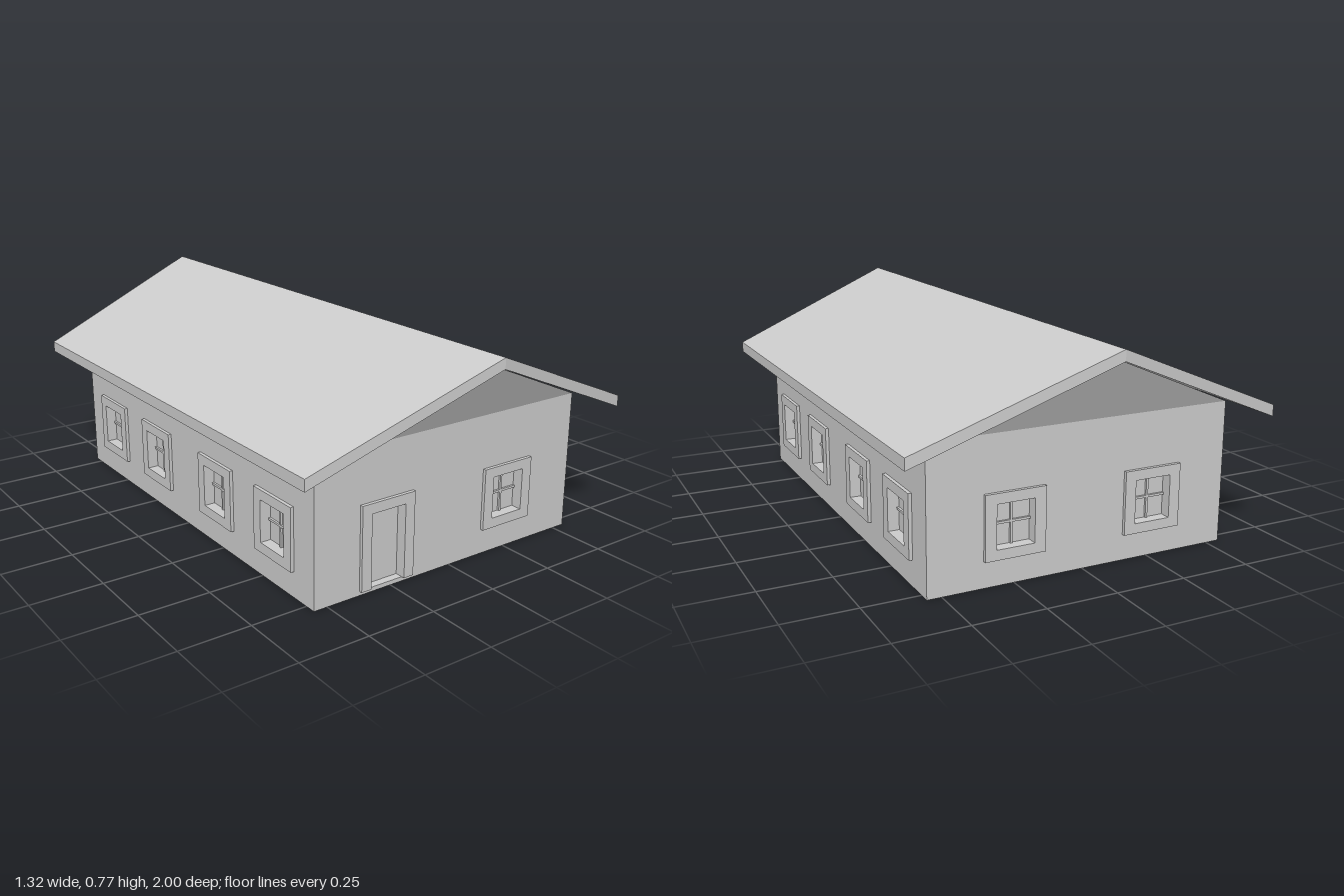
import * as THREE from 'three';

const HALF_W = 0.55, HALF_L = 0.79, WALL_H = 0.5, THICK = 0.035;
const material = new THREE.MeshStandardMaterial({ color: 0xcccccc, flatShading: true });
const thin = new THREE.MeshStandardMaterial({ color: 0xcccccc, flatShading: true, side: THREE.DoubleSide });

function add(parent, name, geometry, mat = material) {
  const mesh = new THREE.Mesh(geometry, mat);
  mesh.name = name;
  parent.add(mesh);
  return mesh;
}

function box(parent, name, w, h, d, x, y, z) {
  add(parent, name, new THREE.BoxGeometry(w, h, d)).position.set(x, y, z);
}

function polygon(points, Type = THREE.Shape) {
  return new Type(points.map(([x, y]) => new THREE.Vector2(x, y)));
}

const rect = (x0, y0, x1, y1, Type) => polygon([[x0, y0], [x1, y0], [x1, y1], [x0, y1]], Type);
const extrude = (shape, depth) => new THREE.ExtrudeGeometry(shape, { depth, bevelEnabled: false });

// Trim that stands proud of the wall, with an opening and a recessed panel
function addWindow(wall, x) {
  const group = new THREE.Group();
  group.name = 'window';
  group.position.set(x, 0.2, 0);
  wall.add(group);
  const trim = rect(-0.107, -0.11, 0.107, 0.11);
  trim.holes.push(rect(-0.067, -0.075, 0.067, 0.075, THREE.Path));
  add(group, 'windowFrame', extrude(trim, 0.012));
  box(group, 'windowPane', 0.134, 0.15, 0.005, 0, 0, -0.03);
  box(group, 'windowBarUpright', 0.008, 0.15, 0.008, 0, 0, -0.024);
  box(group, 'windowBarCross', 0.134, 0.008, 0.008, 0, 0, -0.024);
}

function addDoor(wall, x) {
  const group = new THREE.Group();
  group.name = 'door';
  group.position.x = x;
  wall.add(group);
  const trim = polygon([[-0.105, 0.015], [-0.067, 0.015], [-0.067, 0.275], [0.067, 0.275],
    [0.067, 0.015], [0.105, 0.015], [0.105, 0.31], [-0.105, 0.31]]);
  add(group, 'doorFrame', extrude(trim, 0.012));
  box(group, 'doorPanel', 0.134, 0.26, 0.005, 0, 0.145, -0.03);
}

// One wall with its outer face on local z = 0, turned and moved outwards
function addWall(house, name, halfWidth, angle, distance, windows, doors = []) {
  const wall = new THREE.Group();
  wall.name = name;
  wall.rotation.y = angle;
  wall.position.set(Math.sin(angle) * distance, 0, Math.cos(angle) * distance);
  house.add(wall);
  const shape = rect(-halfWidth, 0, halfWidth, WALL_H);
  for (const x of windows) shape.holes.push(rect(x - 0.067, 0.125, x + 0.067, 0.275, THREE.Path));
  for (const x of doors) shape.holes.push(rect(x - 0.067, 0.015, x + 0.067, 0.275, THREE.Path));
  add(wall, 'wallPanel', extrude(shape, THICK).translate(0, 0, -THICK));
  windows.forEach((x) => addWindow(wall, x));
  doors.forEach((x) => addDoor(wall, x));
  return wall;
}

// Gable triangle leaning out towards its peak
function addGable(wall) {
  const geometry = new THREE.BufferGeometry();
  geometry.setAttribute('position', new THREE.Float32BufferAttribute(
    [-HALF_W, WALL_H, 0, HALF_W, WALL_H, 0, 0, 0.73, 0.11], 3));
  geometry.computeVertexNormals();
  add(wall, 'gable', geometry, thin);
}

export function createModel() {
  const house = new THREE.Group();
  house.name = 'house';

  // Floor and four walls
  box(house, 'floor', 2 * HALF_W - 0.01, 0.01, 2 * HALF_L - 0.01, 0, 0.005, 0);
  const front = addWall(house, 'frontWall', HALF_W, 0, HALF_L, [0.247], [-0.27]);
  const back = addWall(house, 'backWall', HALF_W, Math.PI, HALF_L, [-0.25, 0.26]);
  const sideWindows = [-0.575, -0.215, 0.215, 0.575];
  addWall(house, 'leftWall', HALF_L - THICK, Math.PI / 2, HALF_W, sideWindows);
  addWall(house, 'rightWall', HALF_L - THICK, -Math.PI / 2, HALF_W, sideWindows);
  addGable(front);
  addGable(back);

  // Roof slab, its ends running further out at the ridge than at the eaves
  const profile = polygon([[-0.66, 0.46], [0, 0.73], [0.66, 0.46], [0.66, 0.5], [0, 0.767], [-0.66, 0.5]]);
  const roof = extrude(profile, 2).translate(0, 0, -1);
  const p = roof.attributes.position;
  for (let i = 0; i < p.count; i++) {
    p.setZ(i, Math.sign(p.getZ(i)) * (1 - 0.1 * Math.abs(p.getX(i)) / 0.66));
  }
  roof.computeVertexNormals();
  add(house, 'roof', roof);

  return house;
}
